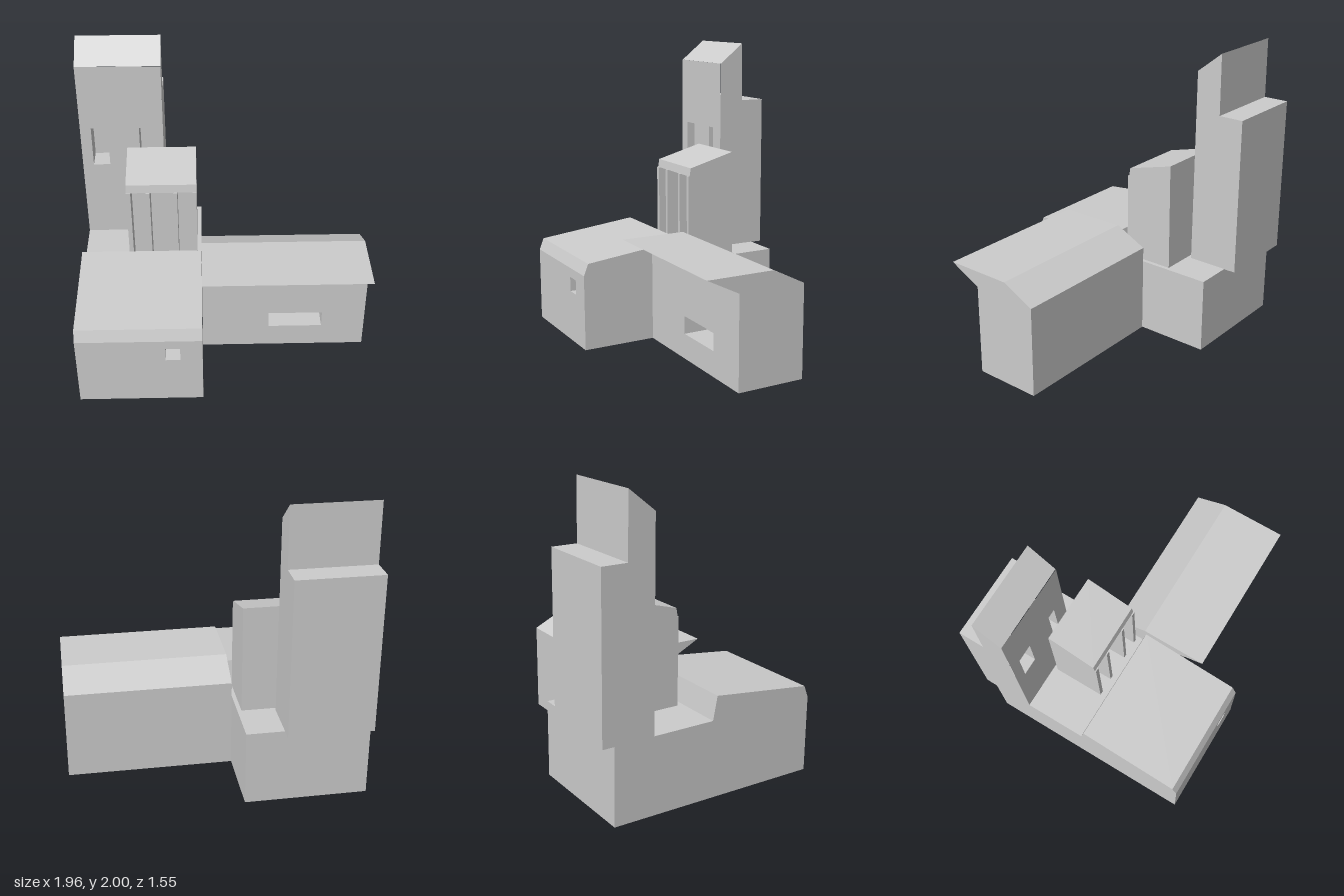
import * as THREE from 'three';

const material = new THREE.MeshStandardMaterial({ color: 0xcccccc, flatShading: true });

// Side profile of [z, y] points swept from x0 to x1. The profile starts at the
// bottom front and runs up, over and down the back. The first edge is a vertical
// front wall, which may hold recessed windows [left, right, bottom, top].
function block(name, profile, x0, x1, windows = [], depth = 0.15) {
  const pos = [];
  const tri = (a, b, c) => pos.push(...a, ...b, ...c);
  const quad = (a, b, c, d) => { tri(a, b, c); tri(a, c, d); };

  // walls and roofs
  profile.forEach(([z, y], i) => {
    if (i === 0 && windows.length) return;
    const [z2, y2] = profile[(i + 1) % profile.length];
    quad([x0, y, z], [x1, y, z], [x1, y2, z2], [x0, y2, z2]);
  });

  // end walls
  const outline = profile.map(([z, y]) => new THREE.Vector2(z, y));
  for (const [a, b, c] of THREE.ShapeUtils.triangulateShape(outline, [])) {
    const at = (x, i) => [x, profile[i][1], profile[i][0]];
    tri(at(x0, a), at(x0, b), at(x0, c));
    tri(at(x1, a), at(x1, c), at(x1, b));
  }

  // front wall with openings and their recesses
  if (windows.length) {
    const rect = (l, r, b, t) => [[l, b], [r, b], [r, t], [l, t]].map(p => new THREE.Vector2(...p));
    const zf = profile[0][0], zb = zf - depth;
    const wall = rect(x0, x1, profile[0][1], profile[1][1]);
    const holes = windows.map(w => rect(...w).reverse());
    const pts = [wall, ...holes].flat();
    for (const f of THREE.ShapeUtils.triangulateShape(wall, holes)) {
      tri(...f.map(i => [pts[i].x, pts[i].y, zf]));
    }
    for (const [l, r, b, t] of windows) {
      quad([l, b, zb], [r, b, zb], [r, t, zb], [l, t, zb]);
      quad([l, b, zf], [r, b, zf], [r, b, zb], [l, b, zb]);
      quad([l, t, zb], [r, t, zb], [r, t, zf], [l, t, zf]);
      quad([l, b, zf], [l, b, zb], [l, t, zb], [l, t, zf]);
      quad([r, b, zb], [r, b, zf], [r, t, zf], [r, t, zb]);
    }
  }

  const geometry = new THREE.BufferGeometry();
  geometry.setAttribute('position', new THREE.Float32BufferAttribute(pos, 3));
  geometry.computeVertexNormals();
  const mesh = new THREE.Mesh(geometry, material);
  mesh.name = name;
  return mesh;
}

export function createModel() {
  const model = new THREE.Group();
  model.name = 'building';

  // main hall: chamfered front, rising roof, low flat terrace behind
  model.add(block('mainHall', [
    [0.775, 0], [0.775, 0.515], [0.743, 0.595], [0.04, 0.675],
    [0.01, 0.517], [-0.695, 0.517], [-0.695, 0],
  ], -0.98, -0.157, [[-0.4, -0.302, 0.35, 0.45]], 0.12));

  // side wing with a roof that juts out over the front
  model.add(block('sideWing', [
    [0.27, 0], [0.27, 0.62], [0.49, 0.73], [0.03, 0.73], [-0.193, 0.62], [-0.193, 0],
  ], -0.155, 0.975, [[0.305, 0.677, 0.17, 0.29]], 0.17));

  // tall tower with a slanted cap and a lower back half
  model.add(block('tallTower', [
    [-0.42, 0.515], [-0.423, 1.86], [-0.6, 2], [-0.603, 1.59], [-0.775, 1.59], [-0.775, 0.515],
  ], -0.98, -0.41, [[-0.905, -0.79, 1.095, 1.39], [-0.575, -0.513, 1.095, 1.39]], 0.15));

  // middle tower: recessed front under a lintel and sloping roof
  const middle = new THREE.Group();
  middle.name = 'middleTower';
  middle.add(block('middleTowerBody', [
    [-0.16, 0.517], [-0.16, 1.108], [-0.04, 1.108], [-0.05, 1.165], [-0.383, 1.255], [-0.39, 0.517],
  ], -0.66, -0.185));

  // pillars across the recess
  for (const [l, r] of [[-0.66, -0.63], [-0.527, -0.5], [-0.342, -0.315], [-0.212, -0.185]]) {
    const pillar = new THREE.Mesh(new THREE.BoxGeometry(r - l, 0.591, 0.128), material);
    pillar.position.set((l + r) / 2, 0.8125, -0.096);
    pillar.name = 'pillar';
    middle.add(pillar);
  }
  model.add(middle);
  return model;
}
